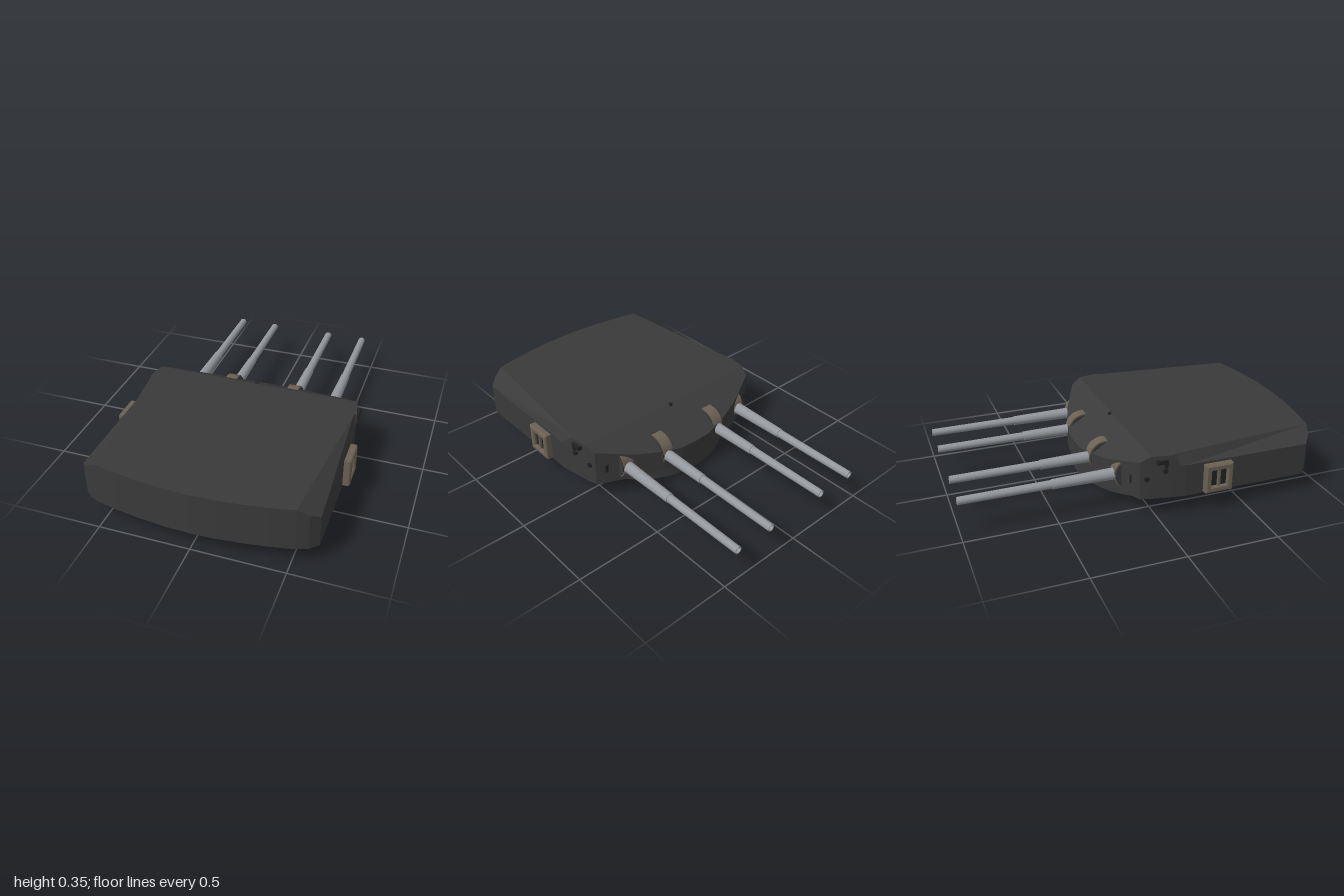
import * as THREE from 'three';

const mat = (name, color) => {
  const m = new THREE.MeshStandardMaterial({ color });
  m.name = name;
  return m;
};

export function createModel() {
  const root = new THREE.Group();
  root.name = 'gunTurret';
  const armour = mat('dark armour', 0x3a3a3a);
  const fitting = mat('black fitting', 0x222222);
  const brown = mat('brown hood', 0x6b6153);
  const steel = mat('barrel steel', 0x94989d);

  const add = (name, geo, material, x = 0, y = 0, z = 0, parent = root) => {
    const m = new THREE.Mesh(geo, material);
    m.name = name;
    m.position.set(x, y, z);
    parent.add(m);
    return m;
  };

  // Armoured house: half outline [x, z, wall top y, roof x, roof z, roof y], rear to front
  const roofY = 0.35, breakZ = -0.03, base = 0.103;
  const slope = (z) => roofY - 0.6 * (breakZ - z);
  const rear = [[0, 0.995], [0.14, 0.99], [0.28, 0.975], [0.4, 0.957], [0.52, 0.933]]
    .map(([x, z]) => [x, z, roofY, x, z, roofY]);
  const side = [
    [0.58, 0.91, 0.313, 0.52, 0.933, roofY],
    [0.625, 0.87, 0.285, 0.52, 0.933, roofY],
    [0.625, 0.15, 0.285, 0.6, 0.11, roofY],
    [0.62, 0.12, 0.285, 0.608, 0.075, roofY],
    [0.612, 0.075, roofY, 0.612, 0.075, roofY],
    [0.592, breakZ, roofY, 0.592, breakZ, roofY],
  ];
  const front = [[0.575, -0.085], [0.46, -0.14], [0.37, -0.182], [0.21, -0.235], [0.1, -0.257], [0, -0.26]]
    .map(([x, z]) => [x, z, slope(z), x, breakZ, roofY]);
  const half = [...rear, ...side, ...front];
  const mirrored = half.slice(1, -1).reverse()
    .map(([x, z, y, rx, rz, ry]) => [-x, z, y, -rx, rz, ry]);
  const ring = [...half, ...mirrored];

  const pos = [];
  const tri = (a, b, c) => pos.push(...a, ...b, ...c);
  const quad = (a, b, c, d) => { tri(a, b, c); tri(a, c, d); };
  ring.forEach((p, i) => {
    const q = ring[(i + 1) % ring.length];
    const low = (v) => [v[0], base, v[1]];
    const wall = (v) => [v[0], v[2], v[1]];
    const roof = (v) => [v[3], v[5], v[4]];
    quad(low(p), low(q), wall(q), wall(p));
    quad(wall(p), wall(q), roof(q), roof(p));
    tri(roof(p), roof(q), [0, roofY, 0.4]);
    tri(low(q), low(p), [0, base, 0.4]);
  });
  const house = new THREE.BufferGeometry();
  house.setAttribute('position', new THREE.Float32BufferAttribute(pos, 3));
  house.computeVertexNormals();
  add('armouredHouse', house, armour);

  // Turntable rings below
  add('upperRing', new THREE.CylinderGeometry(0.488, 0.488, 0.075, 48), armour, 0, 0.0675, 0.232);
  add('lowerRing', new THREE.CylinderGeometry(0.453, 0.453, 0.03, 48), armour, 0, 0.015, 0.225);

  // Barrel profile: stepped sleeve, tapered tube, hollow muzzle
  const barrelGeo = new THREE.LatheGeometry([
    [0, 0], [0.033, 0], [0.033, 0.06], [0.027, 0.41], [0.0235, 0.41],
    [0.021, 0.9], [0.016, 0.9], [0.016, 0.8], [0, 0.8],
  ].flatMap(([r, h], i, a) => {
    // doubled points keep the steps crisp
    const v = new THREE.Vector2(r, h);
    return i > 0 && i < a.length - 1 ? [v, v.clone()] : [v];
  }), 20);
  barrelGeo.rotateX(-Math.PI / 2);

  // Four guns with curved mantlets in the sloping face
  for (const [x, z] of [[0.42, -0.085], [0.19, -0.148], [-0.19, -0.148], [-0.42, -0.085]]) {
    const gun = new THREE.Group();
    gun.name = 'gun';
    gun.position.x = x;
    root.add(gun);
    add('barrel', barrelGeo, steel, 0, 0.194, -0.1, gun);
    const drum = new THREE.CylinderGeometry(0.094, 0.094, 0.064, 28).rotateZ(Math.PI / 2);
    add('mantlet', drum, brown, 0, 0.197, z, gun);
    const rim = new THREE.CylinderGeometry(0.088, 0.088, 0.078, 28).rotateZ(Math.PI / 2);
    add('mantletRim', rim, armour, 0, 0.197, z, gun);
  }

  // Frame with a window for the sighting hoods
  const rect = (Type, w, h) => {
    const s = new Type();
    s.moveTo(-w, -h);
    s.lineTo(w, -h);
    s.lineTo(w, h);
    s.lineTo(-w, h);
    s.closePath();
    return s;
  };
  const frameShape = rect(THREE.Shape, 0.071, 0.073);
  frameShape.holes.push(rect(THREE.Path, 0.052, 0.054));
  const frameGeo = new THREE.ExtrudeGeometry(frameShape, {
    depth: 0.032, bevelEnabled: true, bevelThickness: 0.007, bevelSize: 0.007, bevelSegments: 1,
  });

  for (const s of [1, -1]) {
    const hood = new THREE.Group();
    hood.name = s > 0 ? 'leftSightingHood' : 'rightSightingHood';
    hood.position.set(s * 0.622, 0.193, 0.334);
    hood.rotation.y = s * Math.PI / 2;
    root.add(hood);
    add('hoodFrame', frameGeo, brown, 0, 0, 0.003, hood);
    add('hoodPanel', new THREE.BoxGeometry(0.12, 0.124, 0.024), brown, 0, 0, 0.008, hood);
    for (const x of [-0.027, 0.027])
      add('hoodSlit', new THREE.BoxGeometry(0.034, 0.09, 0.006), fitting, x, 0, 0.021, hood);
    add('hoodBar', new THREE.BoxGeometry(0.014, 0.1, 0.016), brown, 0, 0, 0.026, hood);

    // Small fittings at the front corners
    add('sideBracket', new THREE.BoxGeometry(0.03, 0.022, 0.06), fitting, s * 0.605, 0.318, 0.028);
    add('bracketFoot', new THREE.BoxGeometry(0.024, 0.03, 0.016), fitting, s * 0.608, 0.3, 0.048);
    const knob = new THREE.CylinderGeometry(0.014, 0.014, 0.03, 12).rotateZ(Math.PI / 2);
    add('sideKnob', knob, fitting, s * 0.606, 0.265, 0.043);
    add('cornerKnob', knob, fitting, s * 0.58, 0.222, -0.05);
    const plate = add('cornerPlate', new THREE.BoxGeometry(0.03, 0.045, 0.009), fitting, s * 0.52, 0.205, -0.114);
    plate.rotation.y = s * 0.445;
  }

  // Stud on the sloping roof
  add('roofStud', new THREE.CylinderGeometry(0.011, 0.011, 0.02, 12), fitting, 0, 0.342, -0.04);
  return root;
}
